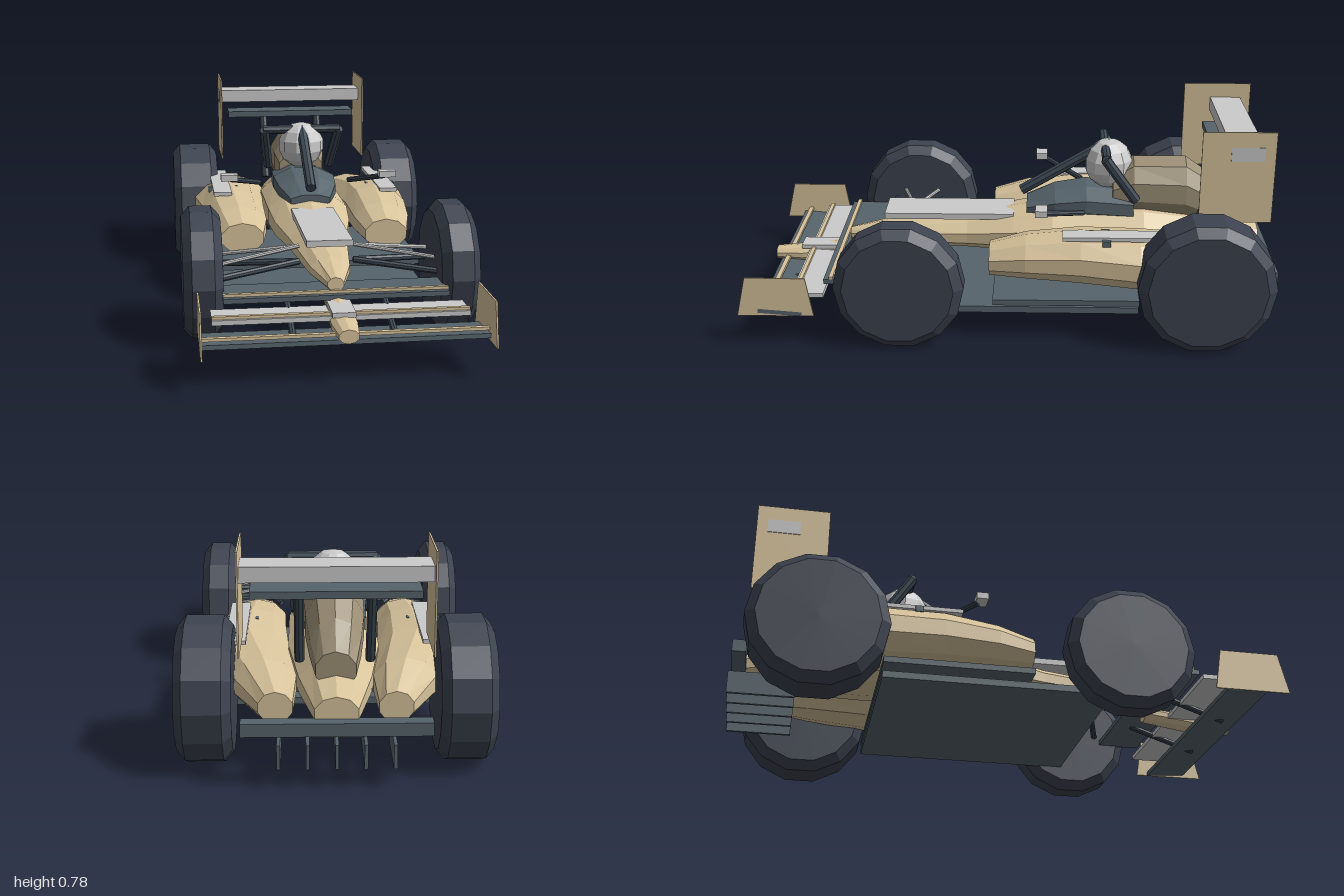
import * as THREE from 'three';

const material = (color) => new THREE.MeshStandardMaterial({ color, flatShading: true, side: THREE.DoubleSide });

export function createModel() {
  const car = new THREE.Group();
  car.name = 'racingCar';
  const tan = material(0xd8c49c), brown = material(0x9c8f76), carbon = material(0x56646c);
  const rubber = material(0x3d4350), pale = material(0xdcdcd8), grey = material(0xcccccc);
  const steel = material(0x3e4a55);

  const add = (name, geometry, mat) => {
    const mesh = new THREE.Mesh(geometry, mat);
    mesh.name = name;
    car.add(mesh);
    return mesh;
  };

  // Box given by its lower and upper limits on each axis
  const box = (name, mat, [x0, x1], [y0, y1], [z0, z1]) => {
    const mesh = add(name, new THREE.BoxGeometry(x1 - x0, y1 - y0, z1 - z0), mat);
    mesh.position.set((x0 + x1) / 2, (y0 + y1) / 2, (z0 + z1) / 2);
    return mesh;
  };

  // Round rod between two points
  const rod = (name, mat, from, to, radius) => {
    const a = new THREE.Vector3(...from), b = new THREE.Vector3(...to);
    const mesh = add(name, new THREE.CylinderGeometry(radius, radius, a.distanceTo(b), 8), mat);
    mesh.position.copy(a).add(b).multiplyScalar(0.5);
    mesh.quaternion.setFromUnitVectors(new THREE.Vector3(0, 1, 0), b.sub(a).normalize());
    return mesh;
  };

  // Faceted hull through elliptical sections [z, centreX, centreY, radiusX, radiusY], front to back
  const hull = (name, mat, sections, sides = 10) => {
    const pos = [];
    const point = ([z, cx, cy, rx, ry], j) => {
      const a = ((j + 0.5) / sides) * Math.PI * 2;
      return [cx + rx * Math.cos(a), cy + ry * Math.sin(a), z];
    };
    const centre = ([z, cx, cy]) => [cx, cy, z];
    const first = sections[0], last = sections[sections.length - 1];
    for (let j = 0; j < sides; j++) {
      for (let i = 0; i < sections.length - 1; i++) {
        const a = point(sections[i], j), b = point(sections[i], j + 1);
        const c = point(sections[i + 1], j), d = point(sections[i + 1], j + 1);
        pos.push(...a, ...c, ...b, ...b, ...c, ...d);
      }
      pos.push(...centre(first), ...point(first, j), ...point(first, j + 1));
      pos.push(...centre(last), ...point(last, j + 1), ...point(last, j));
    }
    const geometry = new THREE.BufferGeometry();
    geometry.setAttribute('position', new THREE.Float32BufferAttribute(pos, 3));
    geometry.computeVertexNormals();
    return add(name, geometry, mat);
  };

  // Thin upright plate with a [z, y] outline
  const plate = (name, mat, x, outline) => {
    const shape = new THREE.Shape(outline.map(([z, y]) => new THREE.Vector2(z, y)));
    const geometry = new THREE.ExtrudeGeometry(shape, { depth: 0.006, bevelEnabled: false });
    geometry.rotateY(-Math.PI / 2).translate(x + 0.003, 0, 0);
    return add(name, geometry, mat);
  };

  // Tyre with bevelled shoulders
  const wheel = (name, x, y, z, radius, width) => {
    const h = width / 2;
    const profile = [[0, -h], [radius - 0.035, -h], [radius, -h + 0.03], [radius, h - 0.03], [radius - 0.035, h], [0, h]];
    const geometry = new THREE.LatheGeometry(profile.map(([r, t]) => new THREE.Vector2(r, t)), 14);
    geometry.rotateZ(Math.PI / 2);
    add(name, geometry, rubber).position.set(x, y, z);
  };

  // Floor
  box('lowerFloor', carbon, [-0.39, 0.39], [0.1, 0.125], [-0.47, 0.36]);
  box('upperFloor', carbon, [-0.42, 0.42], [0.145, 0.167], [-0.47, 0.07]);

  // Main body and nose
  hull('mainBody', tan, [
    [0.645, 0, 0.25, 0.03, 0.025], [0.5, 0, 0.262, 0.075, 0.045], [0.18, 0, 0.275, 0.115, 0.062],
    [0, 0, 0.29, 0.155, 0.085], [-0.15, 0, 0.305, 0.168, 0.1], [-0.5, 0, 0.3, 0.168, 0.11],
    [-0.75, 0, 0.28, 0.13, 0.09], [-0.95, 0, 0.25, 0.075, 0.06],
  ]);
  hull('noseTip', tan, [
    [0.945, 0, 0.165, 0.035, 0.024], [0.84, 0, 0.167, 0.047, 0.032], [0.6, 0, 0.2, 0.04, 0.03],
  ]);
  box('nosePanel', pale, [-0.083, 0.083], [0.345, 0.368], [0, 0.5]);
  box('noseTipPanel', pale, [-0.04, 0.04], [0.195, 0.212], [0.7, 0.84]);

  // Engine cover and cockpit
  hull('engineCover', brown, [
    [-0.38, 0, 0.45, 0.095, 0.075], [-0.46, 0, 0.47, 0.11, 0.115], [-0.66, 0, 0.46, 0.105, 0.125],
    [-0.76, 0, 0.41, 0.09, 0.105], [-0.84, 0, 0.36, 0.07, 0.065],
  ]);
  hull('cockpitSurround', carbon, [
    [-0.05, 0, 0.385, 0.085, 0.025], [-0.16, 0, 0.405, 0.125, 0.055], [-0.28, 0, 0.415, 0.135, 0.065],
    [-0.46, 0, 0.4, 0.125, 0.06],
  ], 8);
  add('helmet', new THREE.SphereGeometry(0.095, 10, 7), pale).position.set(0, 0.555, -0.365);

  // Cockpit guard
  rod('guardPillar', steel, [0, 0.44, -0.03], [0, 0.625, -0.34], 0.021);
  rod('guardCrossbar', steel, [-0.16, 0.622, -0.35], [0.16, 0.622, -0.35], 0.018);

  // Front wing elements with pale and tan leading edges
  box('frontWingMainPlane', carbon, [-0.48, 0.48], [0.127, 0.143], [0.765, 0.925]).rotation.x = -0.08;
  box('frontWingMainEdge', tan, [-0.48, 0.48], [0.154, 0.165], [0.888, 0.905]);
  box('frontWingMiddlePlane', pale, [-0.435, 0.435], [0.175, 0.192], [0.69, 0.81]);
  box('frontWingMiddleEdge', tan, [-0.435, 0.435], [0.192, 0.202], [0.785, 0.8]);
  box('frontWingUpperPlane', carbon, [-0.39, 0.39], [0.21, 0.228], [0.53, 0.695]);
  box('frontWingUpperEdge', tan, [-0.39, 0.39], [0.228, 0.238], [0.66, 0.675]);

  // Rear wing
  box('rearWingMainPlane', pale, [-0.318, 0.318], [0.676, 0.728], [-0.905, -0.785]);
  box('rearWingLowerPlane', carbon, [-0.278, 0.278], [0.612, 0.637], [-0.87, -0.755]);

  // Rear crash bar and diffuser fins
  box('rearBar', carbon, [-0.31, 0.31], [0.19, 0.235], [-0.99, -0.94]);
  for (let i = -2; i <= 2; i++) {
    box('diffuserFin', carbon, [i * 0.094 - 0.006, i * 0.094 + 0.006], [0.082, 0.165], [-1, -0.76]);
  }

  // Parts repeated on both sides
  for (const s of [1, -1]) {
    const span = (a, b) => (s > 0 ? [a, b] : [-b, -a]);

    wheel('frontWheel', s * 0.452, 0.243, 0.407, 0.237, 0.138);
    wheel('rearWheel', s * 0.435, 0.252, -0.705, 0.25, 0.188);

    hull('sidepod', tan, [
      [0.085, s * 0.28, 0.275, 0.085, 0.06], [-0.05, s * 0.285, 0.29, 0.115, 0.082],
      [-0.25, s * 0.295, 0.297, 0.13, 0.1], [-0.47, s * 0.3, 0.285, 0.15, 0.105],
      [-0.7, s * 0.24, 0.265, 0.115, 0.09], [-0.85, s * 0.2, 0.235, 0.06, 0.055],
    ]);
    box('sidepodPanel', pale, span(0.303, 0.375), [0.383, 0.398], [-0.64, -0.185]);
    box('sidepodBracket', carbon, span(0.27, 0.39), [0.368, 0.39], [-0.36, -0.33]);

    box('mirror', pale, span(0.283, 0.35), [0.464, 0.489], [-0.13, -0.085]);
    rod('mirrorArm', steel, [s * 0.185, 0.42, -0.265], [s * 0.31, 0.465, -0.12], 0.011);
    rod('guardLeg', steel, [s * 0.155, 0.622, -0.345], [s * 0.13, 0.45, -0.465], 0.02);

    // Front suspension wishbones
    for (const d of [-1, 1]) {
      rod('upperWishbone', grey, [s * 0.1, 0.325, 0.4], [s * 0.39, 0.285, 0.4 + d * 0.07], 0.008);
      rod('lowerWishbone', steel, [s * 0.1, 0.27, 0.41], [s * 0.39, 0.245, 0.41 + d * 0.1], 0.012);
    }

    // Wing end plates and supports
    plate('frontWingEndPlate', tan, s * 0.477, [[1, 0.122], [0.965, 0.272], [0.745, 0.272], [0.72, 0.122]]);
    rod('frontWingStrut', steel, [s * 0.17, 0.127, 0.86], [s * 0.17, 0.215, 0.6], 0.012);
    plate('rearWingEndPlate', tan, s * 0.312, [[-0.68, 0.44], [-0.68, 0.785], [-0.945, 0.785], [-0.945, 0.44]]);
    rod('rearWingStrut', steel, [s * 0.12, 0.62, -0.8], [s * 0.12, 0.35, -0.7], 0.017);
  }
  return car;
}
